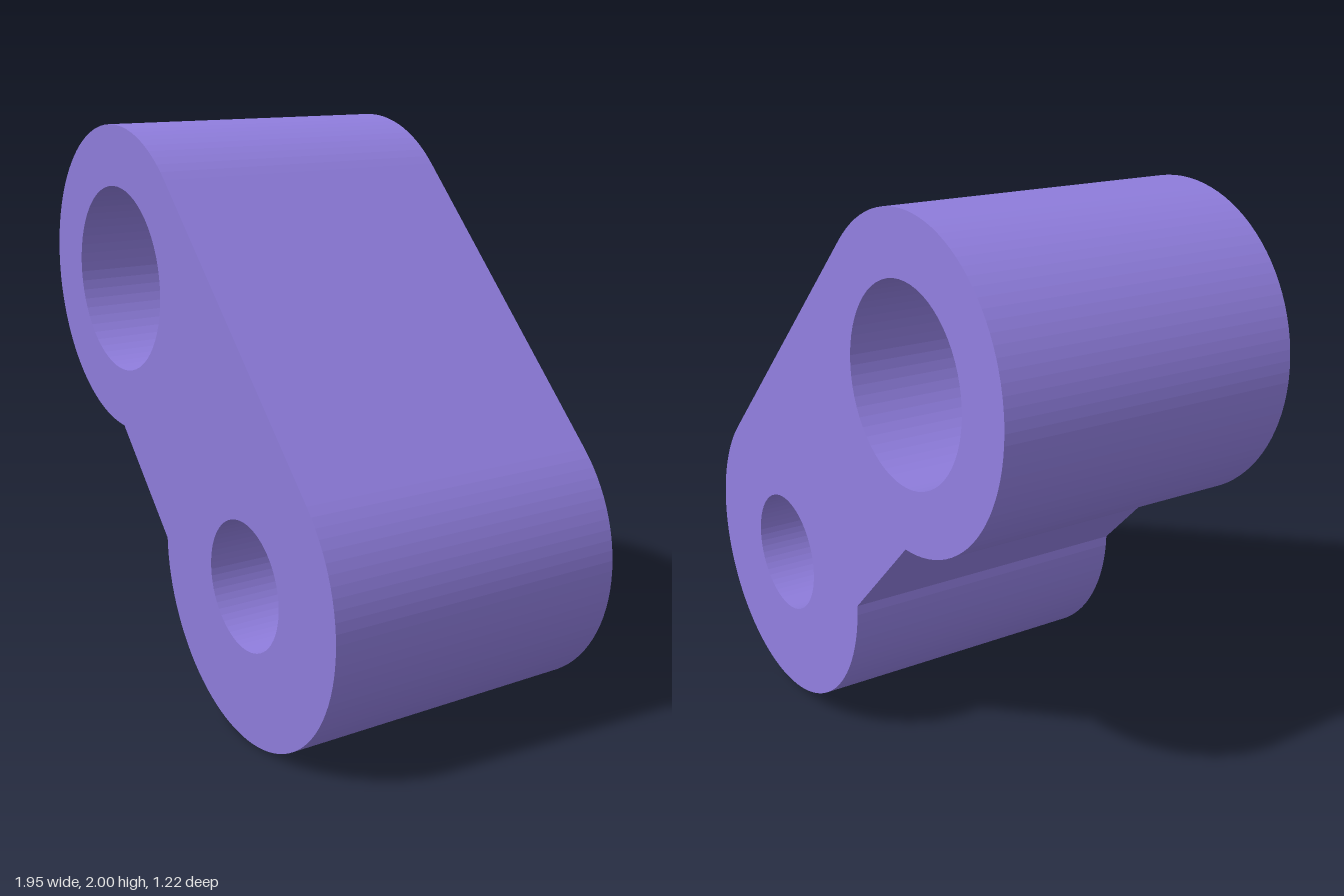
import * as THREE from 'three';

export function createModel() {
  const purple = new THREE.MeshStandardMaterial({ color: 0x8f7ddd });
  purple.name = 'purple';

  const radius = 0.527, depth = 1.062;
  const upper = { x: -0.402, y: 0.451, hole: 0.32 };
  const lower = { x: 0.395, y: -0.446, hole: 0.213 };
  const corner = { x: -0.114, y: -0.094 };

  // Angle at which a line from the inner corner touches a boss
  const tangentAngle = (boss, side) => {
    const dx = corner.x - boss.x, dy = corner.y - boss.y;
    return Math.atan2(dy, dx) + side * Math.acos(radius / Math.hypot(dx, dy));
  };
  // Direction perpendicular to the line joining the bosses
  const outer = Math.atan2(lower.x - upper.x, upper.y - lower.y);

  // Outline: lower boss, straight outer flank, upper boss, inner notch
  const shape = new THREE.Shape();
  shape.moveTo(corner.x, corner.y);
  shape.absarc(lower.x, lower.y, radius, tangentAngle(lower, 1), outer + 2 * Math.PI, false);
  shape.absarc(upper.x, upper.y, radius, outer, tangentAngle(upper, -1) + 2 * Math.PI, false);
  shape.closePath();

  // Through bores
  for (const boss of [upper, lower]) {
    const bore = new THREE.Path();
    bore.absarc(boss.x, boss.y, boss.hole, 0, 2 * Math.PI, true);
    shape.holes.push(bore);
  }

  const geometry = new THREE.ExtrudeGeometry(shape, { depth, bevelEnabled: false, curveSegments: 30 });
  geometry.translate(0, 0, -depth / 2);

  const link = new THREE.Mesh(geometry, purple);
  link.name = 'linkBody';
  // The whole link is tilted slightly
  link.rotation.set(Math.asin(0.042), Math.asin(-0.104), 0);
  link.position.set(0, 1, 0);

  const group = new THREE.Group();
  group.name = 'twoBoreLink';
  group.add(link);
  return group;
}
